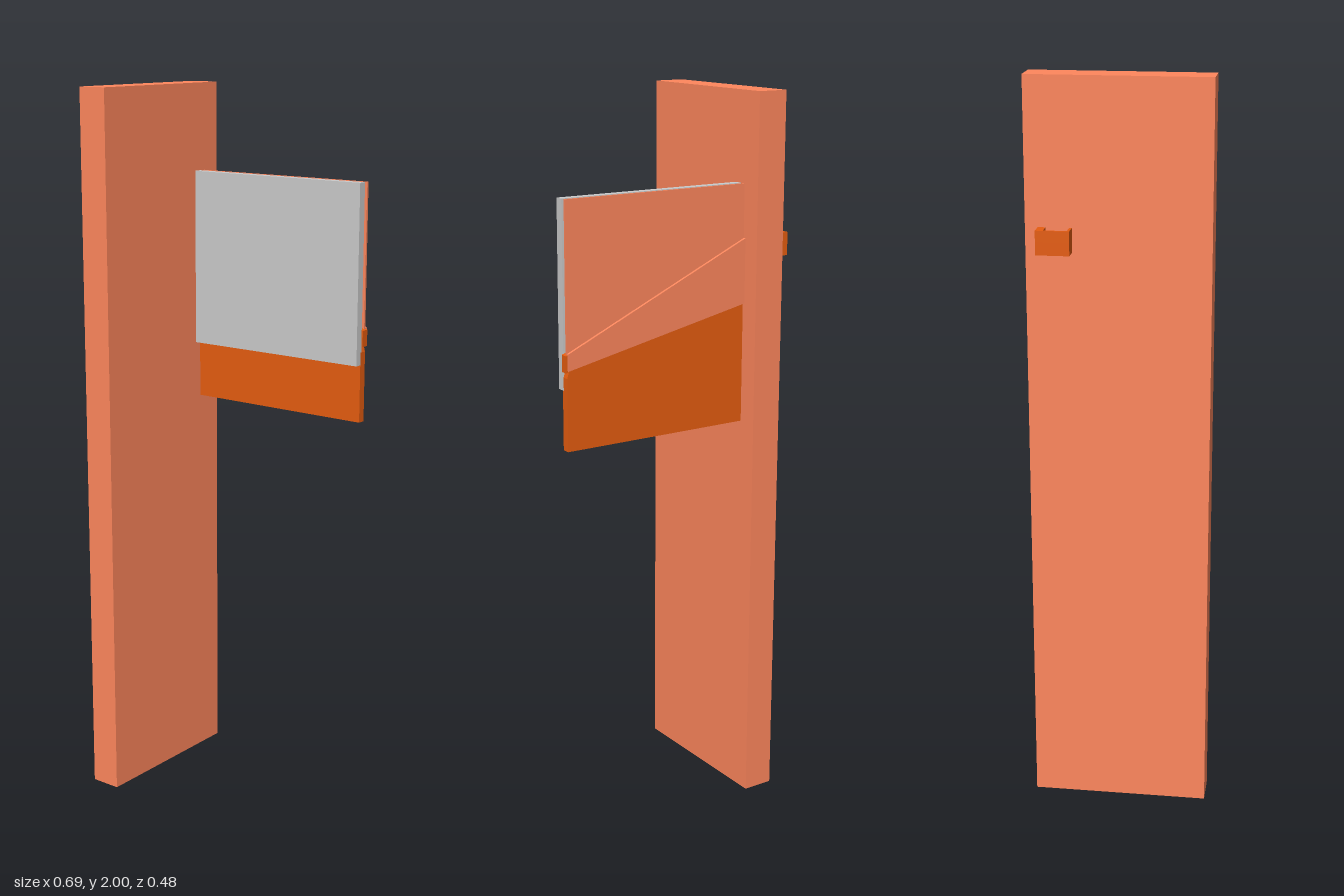
import * as THREE from 'three';

const material = (color) => new THREE.MeshStandardMaterial({ color, flatShading: true });

export function createModel() {
  const model = new THREE.Group();
  const wood = material(0xff875d);
  const rust = material(0xe65d10);
  const grey = material(0xcccccc);

  // Box given by its limits on each axis
  function box(name, mat, [x0, x1], [y0, y1], [z0, z1], parent = model) {
    const mesh = new THREE.Mesh(new THREE.BoxGeometry(x1 - x0, y1 - y0, z1 - z0), mat);
    mesh.name = name;
    mesh.position.set((x0 + x1) / 2, (y0 + y1) / 2, (z0 + z1) / 2);
    parent.add(mesh);
  }

  // Flat plate with an outline in x and y
  function plate(name, mat, points, z0, z1) {
    const shape = new THREE.Shape(points.map(([x, y]) => new THREE.Vector2(x, y)));
    const geometry = new THREE.ExtrudeGeometry(shape, { depth: z1 - z0, bevelEnabled: false });
    geometry.translate(0, 0, z0);
    const mesh = new THREE.Mesh(geometry, mat);
    mesh.name = name;
    model.add(mesh);
  }

  const inner = -0.216, outer = 0.34;

  // Upright board and the grey front panel
  box('post', wood, [-0.303, inner], [0, 2], [-0.238, 0.238]);
  box('frontPanel', grey, [inner, outer], [1.265, 1.757], [-0.163, -0.14]);

  // Thin back panel above the sloping edge
  plate('backPanel', wood, [[inner, 1.5], [outer, 1.34], [outer, 1.757], [inner, 1.757]], -0.18, -0.174);

  // Tapered strip across the back
  plate('taperedStrip', wood, [[inner, 1.435], [outer, 1.32], [outer, 1.365], [inner, 1.612]], -0.188, -0.178);

  // Lower plate with a toothed sloping top edge
  const teeth = 15, step = (outer - inner) / teeth;
  const outline = [[inner, 1.105], [outer, 1.105], [outer, 1.3]];
  for (let i = 0; i < teeth; i++) {
    const y = 1.335 + 0.115 * i / teeth;
    outline.push([outer - (i + 0.3) * step, y], [outer - (i + 0.7) * step, y]);
    outline.push([outer - (i + 0.85) * step, y - 0.01]);
  }
  outline.push([inner, 1.445]);
  plate('lowerPlate', rust, outline, -0.181, -0.159);

  // Sloping lever held between the panels
  plate('lever', rust, [[inner, 1.56], [0.344, 1.315], [0.344, 1.36], [inner, 1.605]], -0.184, -0.162);

  // Shallow catch on the outside of the post
  const catchGroup = new THREE.Group();
  catchGroup.name = 'catch';
  model.add(catchGroup);
  const xs = [-0.345, -0.303];
  box('catchFloor', rust, xs, [1.557, 1.59], [-0.205, -0.118], catchGroup);
  box('catchBackWall', rust, xs, [1.59, 1.62], [-0.205, -0.185], catchGroup);
  box('catchFrontWall', rust, xs, [1.59, 1.62], [-0.125, -0.118], catchGroup);
  box('catchSideWall', rust, [-0.345, -0.339], [1.59, 1.62], [-0.185, -0.125], catchGroup);

  return model;
}
